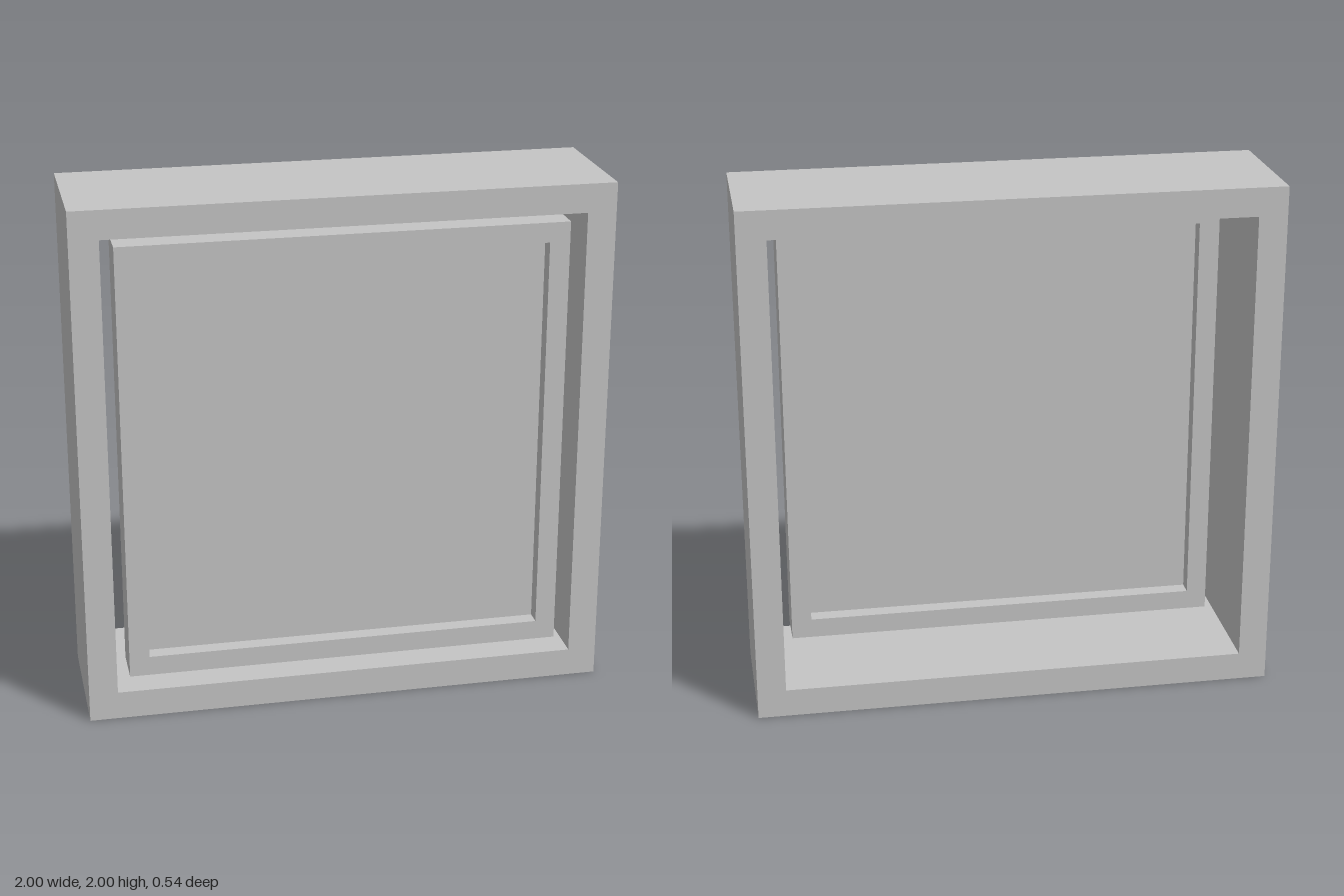
import * as THREE from 'three';

// Rectangle centred on the window, as a shape or a hole
function rect(PathClass, halfW, halfH) {
  const p = new PathClass();
  p.moveTo(-halfW, -halfH);
  p.lineTo(halfW, -halfH);
  p.lineTo(halfW, halfH);
  p.lineTo(-halfW, halfH);
  p.closePath();
  return p;
}

// Rectangular ring extruded from zBack to zFront
function ring(outer, inner, zBack, zFront) {
  const shape = rect(THREE.Shape, ...outer);
  shape.holes.push(rect(THREE.Path, ...inner));
  const geo = new THREE.ExtrudeGeometry(shape, { depth: zFront - zBack, bevelEnabled: false });
  return geo.translate(0, 1, zBack);
}

export function createModel() {
  const group = new THREE.Group();
  group.name = 'window';
  const grey = new THREE.MeshStandardMaterial({ color: 0xc4c4c4 });
  grey.name = 'plain grey';

  const add = (name, geo) => {
    const mesh = new THREE.Mesh(geo, grey);
    mesh.name = name;
    group.add(mesh);
  };

  // Deep surround
  add('outerFrame', ring([1, 1], [0.891, 0.891], -0.27, 0.27));

  // Sash set near the front, with an open gap all round
  add('sash', ring([0.839, 0.849], [0.762, 0.773], 0.07, 0.235));

  // Pane recessed on both sides of the sash
  add('pane', new THREE.BoxGeometry(1.524, 1.546, 0.045).translate(0, 1.003, 0.1525));
  group.getObjectByName('sash').position.y = 0.003;

  return group;
}
